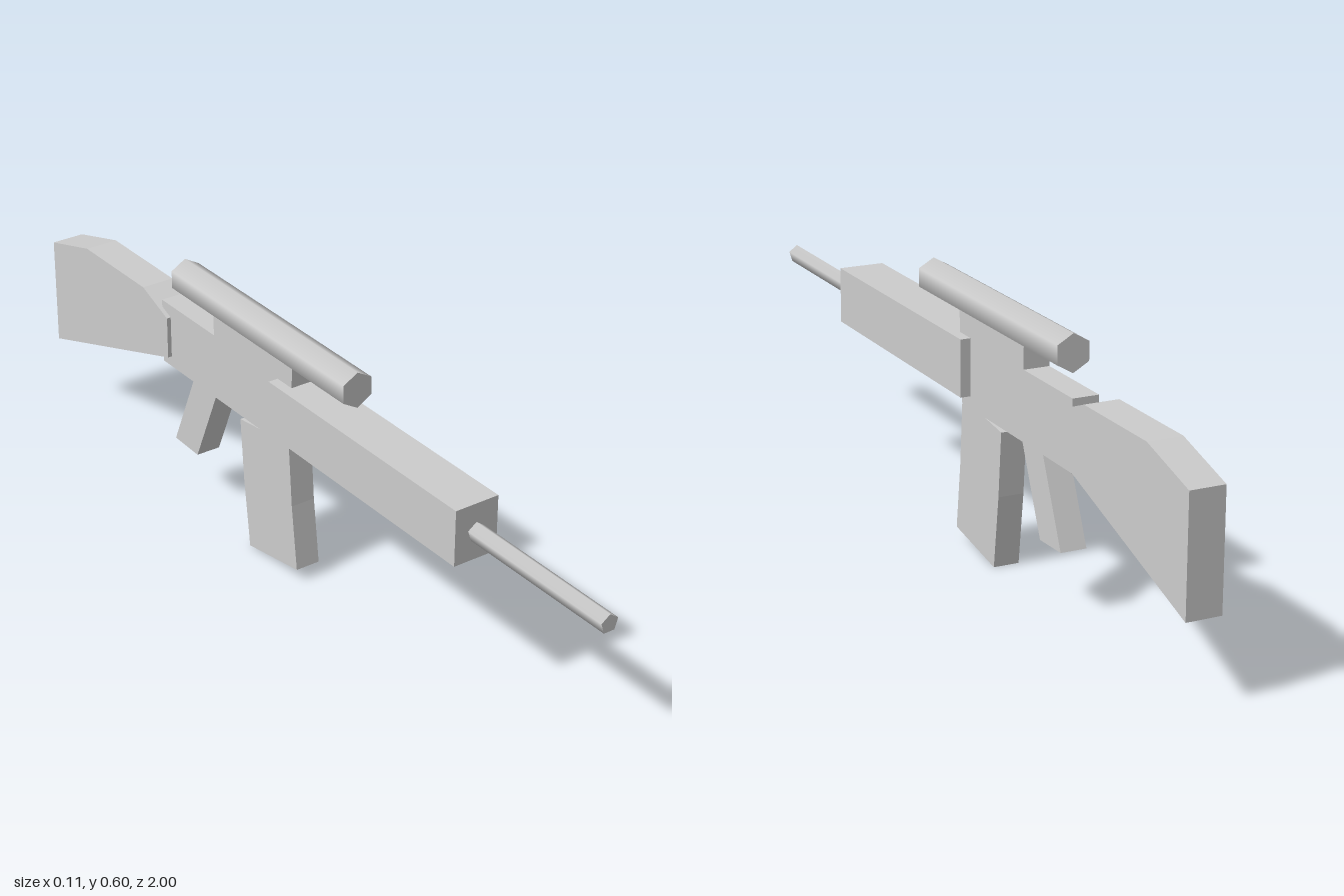
import * as THREE from 'three';

export function createModel() {
  const grey = new THREE.MeshStandardMaterial({ color: 0xcccccc });
  grey.name = 'plain grey';
  const model = new THREE.Group();

  function add(name, geometry) {
    const mesh = new THREE.Mesh(geometry, grey);
    mesh.name = name;
    model.add(mesh);
    return mesh;
  }

  // Flat slab: a side outline of [z, y] points, extruded across x
  function slab(name, halfWidth, outline) {
    const shape = new THREE.Shape(outline.map(([z, y]) => new THREE.Vector2(-z, y)));
    const geometry = new THREE.ExtrudeGeometry(shape, { depth: halfWidth * 2, bevelEnabled: false });
    geometry.translate(0, 0, -halfWidth);
    geometry.rotateY(Math.PI / 2);
    return add(name, geometry);
  }

  // Few-sided rod along z with one corner pointing up
  function rod(name, radius, sides, y, zBack, zFront) {
    const geometry = new THREE.CylinderGeometry(radius, radius, zFront - zBack, sides, 1, false, Math.PI);
    geometry.rotateX(Math.PI / 2);
    add(name, geometry).position.set(0, y, (zBack + zFront) / 2);
  }

  // Barrel and sighting tube
  rod('barrel', 0.022, 5, 0.423, 0.59, 1);
  rod('scope', 0.042, 6, 0.5635, -0.47, 0.19);

  // Square fore-end
  add('handguard', new THREE.BoxGeometry(0.108, 0.131, 0.655)).position.set(0, 0.4235, 0.2675);

  // Body with the raised scope mount
  slab('receiver', 0.03, [
    [-0.005, 0.54], [-0.31, 0.54], [-0.31, 0.488], [-0.525, 0.488],
    [-0.525, 0.33], [-0.018, 0.33], [-0.012, 0.4],
  ]);

  // Slightly bent magazine
  slab('magazine', 0.03, [
    [-0.018, 0.33], [-0.13, 0.33], [-0.208, 0.32], [-0.196, 0.17],
    [-0.175, 0.002], [0.011, 0.033], [-0.008, 0.19],
  ]);

  // Raked handle
  slab('grip', 0.03, [[-0.307, 0.33], [-0.4, 0.33], [-0.482, 0.143], [-0.39, 0.14]]);

  // Shoulder stock
  slab('stock', 0.04, [
    [-0.49, 0.457], [-0.59, 0.496], [-0.84, 0.496], [-1, 0.45], [-1, 0.187], [-0.49, 0.356],
  ]);

  return model;
}
